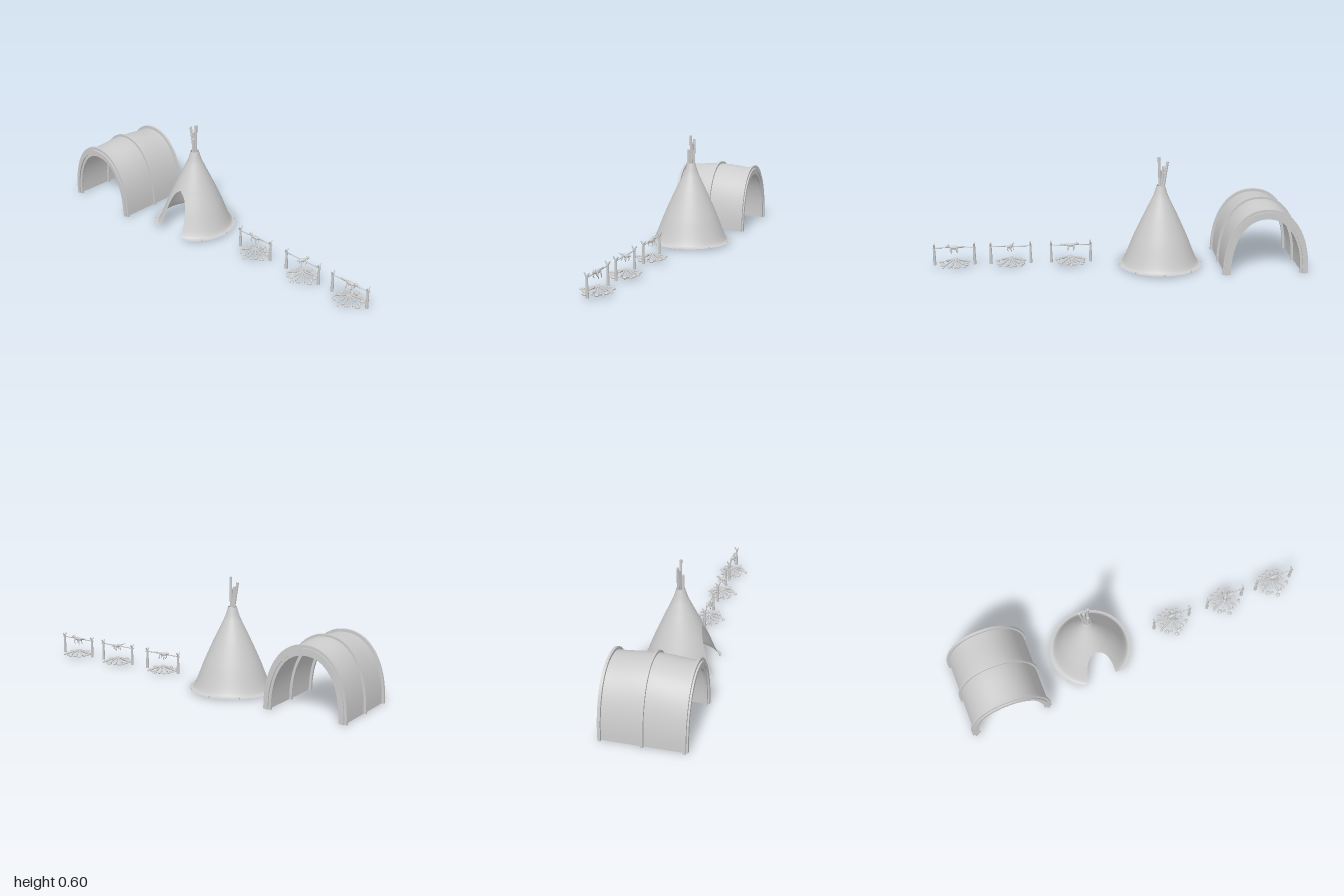
import * as THREE from 'three';
import { mergeVertices, toCreasedNormals } from 'three/addons/utils/BufferGeometryUtils.js';

const smooth = new THREE.MeshStandardMaterial({ color: 0xcccccc });
const thin = new THREE.MeshStandardMaterial({ color: 0xcccccc, side: THREE.DoubleSide });
const faceted = new THREE.MeshStandardMaterial({ color: 0xcccccc, flatShading: true });
const V = (x, y, z) => new THREE.Vector3(x, y, z);

function add(parent, name, geometry, material = smooth) {
  const mesh = new THREE.Mesh(geometry, material);
  mesh.name = name;
  parent.add(mesh);
  return mesh;
}

// Straight round bar between two points
function bar(parent, name, a, b, rA, rB = rA, sides = 8) {
  const dir = b.clone().sub(a);
  const mesh = add(parent, name, new THREE.CylinderGeometry(rB, rA, dir.length(), sides));
  mesh.position.copy(a).add(b).multiplyScalar(0.5);
  mesh.quaternion.setFromUnitVectors(V(0, 1, 0), dir.normalize());
  return mesh;
}

function blob(parent, name, pos, size) {
  const mesh = add(parent, name, new THREE.SphereGeometry(1, 12, 8));
  mesh.position.copy(pos);
  mesh.scale.copy(size);
  return mesh;
}

// Arched band running along x from x0 to x1
function arch(parent, name, outer, inner, x0, x1, steps = 1, bulge = 0) {
  const N = 40;
  const curve = ([a, h]) => Array.from({ length: N + 1 }, (_, i) => {
    const t = (i / N) * Math.PI, c = Math.cos(t), s = Math.max(0, Math.sin(t));
    return new THREE.Vector2(a * Math.sign(c) * Math.abs(c) ** 0.91, h * s ** 0.91);
  });
  const shape = new THREE.Shape([...curve(outer), ...curve(inner).reverse()]);
  const geo = new THREE.ExtrudeGeometry(shape, { depth: x1 - x0, steps, bevelEnabled: false });
  geo.rotateY(Math.PI / 2).translate(x0, 0, 0);
  // The roof swells gently towards the middle
  const p = geo.attributes.position;
  for (let i = 0; i < p.count; i++) {
    const u = (p.getX(i) - x0) / (x1 - x0);
    p.setY(i, p.getY(i) * (1 + bulge * Math.sin(Math.PI * u) ** 2));
  }
  return add(parent, name, toCreasedNormals(geo, 0.6));
}

function createHut() {
  const hut = new THREE.Group();
  hut.name = 'archedHut';
  arch(hut, 'hutCover', [0.216, 0.34], [0.2, 0.318], -0.233, 0.207, 16, 0.045);
  for (const x of [-0.218, -0.013, 0.194]) {
    const lift = x === -0.013 ? 0.012 : 0;
    arch(hut, 'hutRib', [0.229, 0.355 + lift], [0.186, 0.302 + lift], x - 0.0065, x + 0.0065);
  }
  hut.position.z = -0.77;
  return hut;
}

function createTent() {
  const tent = new THREE.Group();
  tent.name = 'coneTent';
  // Cover profile as radius and height, with a flared hem
  const profile = new THREE.CatmullRomCurve3([
    [0.228, 0.01], [0.211, 0.014], [0.2, 0.027], [0.148, 0.155], [0.1, 0.263],
    [0.056, 0.355], [0.038, 0.395], [0.022, 0.445]].map(([r, y]) => V(r, y, 0)), false, 'centripetal');
  const rows = 70, cols = 64, pos = [], idx = [];
  const doorTop = 0.235;
  for (let i = 0; i <= rows; i++) {
    const { x: r, y } = profile.getPoint(i / rows);
    // Half-width of the door gap at this height, wider across the hem
    let w = y < doorTop ? 0.08 * Math.sqrt(1 - (y / doorTop) ** 2) : 0;
    if (r > 0.187) w = Math.max(w, Math.sqrt(r * r - 0.187 ** 2));
    const gap = Math.asin(w / r);
    for (let j = 0; j <= cols; j++) {
      const t = gap + (j / cols) * 2 * (Math.PI - gap);
      pos.push(-Math.cos(t) * r + 0.013 * y, y, Math.sin(t) * r);
      if (i < rows && j < cols) {
        const a = i * (cols + 1) + j, b = a + cols + 1;
        idx.push(a, a + 1, b, a + 1, b + 1, b);
      }
    }
  }
  let cover = new THREE.BufferGeometry();
  cover.setAttribute('position', new THREE.Float32BufferAttribute(pos, 3));
  cover.setIndex(idx);
  cover = mergeVertices(cover, 1e-5);
  cover.computeVertexNormals();
  add(tent, 'tentCover', cover, thin);

  // Poles crossing at the smoke hole
  const poles = [
    [V(0.007, 0.6, 0.012), V(0.008, 0.06, -0.045)],
    [V(-0.007, 0.52, 0.004), V(-0.006, 0.1, 0.05)],
    [V(0.011, 0.575, -0.034), V(0.055, 0.08, 0.035)],
    [V(0.008, 0.55, -0.012), V(0.02, 0.1, 0.01)]];
  for (const [top, foot] of poles) {
    // Pass through the hole, then hang down inside
    const neck = V(THREE.MathUtils.clamp(top.x * 1.3, -0.007, 0.018), 0.44, top.z * 0.4);
    bar(tent, 'tentPole', neck, top, 0.0075, 0.007, 10);
    bar(tent, 'tentPole', foot, neck, 0.0075, 0.0075, 10);
  }
  // Pegs around the hem
  for (let i = 0; i < 7; i++) {
    const t = -2.2 + i * 0.73;
    const x = Math.cos(t) * 0.222, z = Math.sin(t) * 0.222;
    bar(tent, 'tentPeg', V(x, 0.005, z), V(x, 0.016, z), 0.003, 0.004, 6);
  }
  tent.position.z = -0.228;
  return tent;
}

// Small roast with its length along z
function createRoast() {
  const roast = new THREE.Group();
  roast.name = 'roast';
  blob(roast, 'roastBody', V(0, 0, 0), V(0.011, 0.011, 0.027));
  blob(roast, 'roastHead', V(0, 0.006, 0.035), V(0.008, 0.008, 0.012));
  bar(roast, 'roastTail', V(0, 0.002, -0.022), V(0, 0.006, -0.06), 0.005, 0.0015);
  for (const s of [-1, 1]) {
    bar(roast, 'roastEar', V(s * 0.004, 0.01, 0.032), V(s * 0.008, 0.02, 0.03), 0.003, 0.0006, 6);
    for (const z of [-0.016, 0.016]) {
      const knee = V(s * 0.013, -0.016, z + 0.004);
      bar(roast, 'roastLeg', V(s * 0.007, 0, z), knee, 0.005, 0.003, 6);
      bar(roast, 'roastFoot', knee, V(s * 0.011, -0.031, z - 0.004), 0.003, 0.002, 6);
    }
  }
  return roast;
}

function createCampfire(z, yaw, roastScale) {
  const fire = new THREE.Group();
  fire.name = 'campfire';
  // Forked stakes and the spit between them
  for (const s of [-1, 1]) {
    const stakeZ = s * 0.107;
    bar(fire, 'stakeFoot', V(0, 0.015, stakeZ), V(0, 0.075, stakeZ), 0.0085, 0.007);
    bar(fire, 'stake', V(0, 0.07, stakeZ), V(0, 0.118, stakeZ), 0.006);
    for (const f of [-1, 1])
      bar(fire, 'stakeFork', V(0, 0.114, stakeZ), V(f * 0.013, 0.134, stakeZ), 0.005, 0.003, 6);
  }
  bar(fire, 'spit', V(0, 0.112, -0.118), V(0, 0.112, 0.118), 0.003);
  const roast = createRoast();
  roast.position.y = 0.112;
  roast.rotation.y = yaw;
  roast.scale.setScalar(roastScale);
  fire.add(roast);

  // Logs leaning together in the middle
  for (let i = 0; i < 9; i++) {
    const t = (i / 9) * Math.PI * 2 + 0.2, r = 0.058 + 0.018 * Math.sin(i * 2.3);
    bar(fire, 'log', V(Math.cos(t) * r, 0.02, Math.sin(t) * r),
      V(Math.cos(t) * 0.004, 0.045, Math.sin(t) * 0.004), 0.0055, 0.004, 6);
  }
  // Loose ring of flat stones
  for (let i = 0; i < 16; i++) {
    const t = (i / 16) * Math.PI * 2, r = 0.07 + 0.01 * Math.sin(i * 4.1);
    const size = 0.0115 + 0.003 * Math.sin(i * 2.7);
    const stone = add(fire, 'stone', new THREE.DodecahedronGeometry(size), faceted);
    stone.position.set(Math.cos(t) * r, 0.02, Math.sin(t) * r);
    stone.scale.set(1.1, 0.5, 1);
    stone.rotation.y = i * 1.7;
  }
  fire.position.set(-0.027, 0, z);
  return fire;
}

export function createModel() {
  const model = new THREE.Group();
  model.name = 'camp';
  model.add(createHut(), createTent());
  model.add(createCampfire(0.882, 0, 1), createCampfire(0.58, 1.2, 0.85), createCampfire(0.255, Math.PI, 0.95));
  return model;
}
